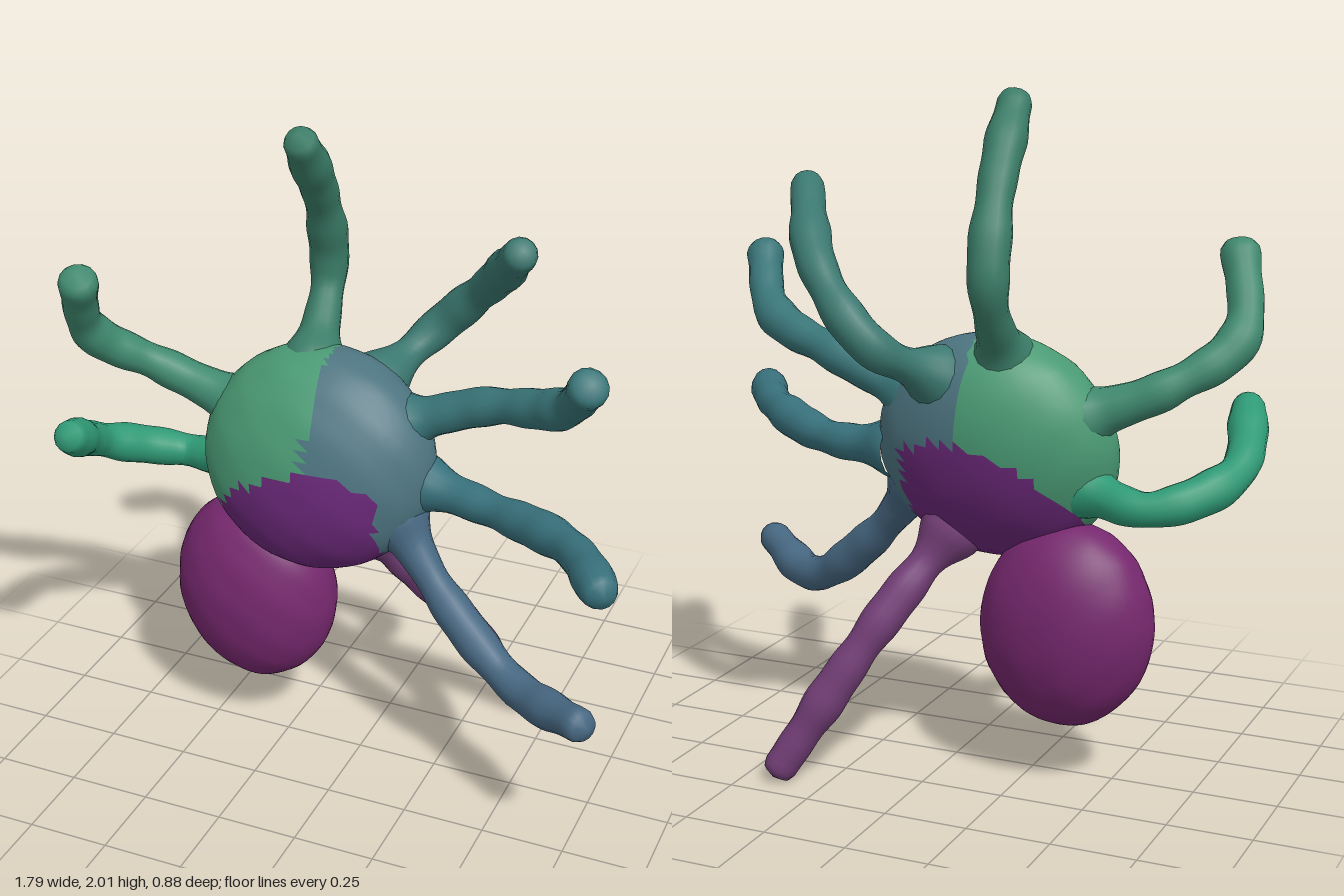
import * as THREE from 'three';
import { mergeVertices } from 'three/addons/utils/BufferGeometryUtils.js';

// Weld the seam so the lumpy surface shades smoothly
function weld(geometry) {
  geometry.deleteAttribute('uv');
  geometry.deleteAttribute('normal');
  const welded = mergeVertices(geometry, 1e-4);
  welded.computeVertexNormals();
  return welded;
}

// Gentle hand-modelled unevenness
const lump = (x, y, z) =>
  Math.sin(9 * x + 5 * y) * Math.sin(8 * y - 4 * z + 1) * Math.cos(7 * z + 3 * x);

function blob(radii, tiltX, tiltZ, centre) {
  const g = new THREE.SphereGeometry(1, 48, 32);
  const p = g.attributes.position;
  const v = new THREE.Vector3();
  for (let i = 0; i < p.count; i++) {
    v.fromBufferAttribute(p, i);
    v.multiplyScalar(1 + 0.012 * lump(v.x, v.y, v.z));
    p.setXYZ(i, v.x, v.y, v.z);
  }
  g.scale(...radii).rotateX(tiltX).rotateZ(tiltZ).translate(...centre);
  return weld(g);
}

// Tube along a curve: flared root, lumpy middle, rounded tip
function limb(points, seed) {
  const curve = new THREE.CatmullRomCurve3(points.map((q) => new THREE.Vector3(...q)));
  const rings = 44, sides = 14;
  const g = new THREE.TubeGeometry(curve, rings, 1, sides);
  const p = g.attributes.position;
  const length = curve.getLength();
  const v = new THREE.Vector3();
  for (let i = 0; i <= rings; i++) {
    const t = i / rings;
    const centre = curve.getPointAt(t);
    const fromTip = Math.min(1, ((1 - t) * length) / 0.05);
    const round = Math.sqrt(Math.max(0, 1 - (1 - fromTip) ** 2));
    const flare = 0.045 * Math.exp(-(((t * length) / 0.075) ** 2));
    const waves = 0.004 * Math.sin(t * 17 + seed) + 0.002 * Math.sin(t * 39 + seed * 2);
    const radius = (0.052 + 0.005 * Math.sin(t * Math.PI) + flare + waves) * round;
    for (let j = 0; j <= sides; j++) {
      const k = i * (sides + 1) + j;
      v.fromBufferAttribute(p, k).sub(centre).multiplyScalar(radius).add(centre);
      p.setXYZ(k, v.x, v.y, v.z);
    }
  }
  return weld(g);
}

// Keep only the triangles whose centre passes a test
function patch(geometry, test) {
  const p = geometry.attributes.position, index = geometry.index, kept = [];
  for (let i = 0; i < index.count; i += 3) {
    const c = [0, 1, 2].map((n) => index.getX(i + n));
    const x = c.reduce((s, n) => s + p.getX(n), 0) / 3;
    const y = c.reduce((s, n) => s + p.getY(n), 0) / 3;
    if (test(x, y)) kept.push(...c);
  }
  const g = geometry.clone();
  g.setIndex(kept);
  return g;
}

export function createModel() {
  const model = new THREE.Group();
  model.name = 'manyLeggedCreature';
  const add = (name, geometry, color) => {
    const mesh = new THREE.Mesh(geometry, new THREE.MeshStandardMaterial({ color }));
    mesh.name = name;
    model.add(mesh);
  };

  // Round body in three colour zones
  const shell = blob([0.365, 0.343, 0.212], -0.22, 0, [-0.15, 0.99, -0.045]);
  const belly = (x, y) => y < 1.03 - 1.6 * (x + 0.08) ** 2 && x > -0.43 && x < 0.09;
  add('bodyBelly', patch(shell, belly), 0x6a2878);
  add('bodyRightSide', patch(shell, (x, y) => !belly(x, y) && x < -0.12), 0x4a9a74);
  add('bodyLeftSide', patch(shell, (x, y) => !belly(x, y) && x >= -0.12), 0x4d7480);

  // Egg-shaped abdomen hanging below
  add('abdomen', blob([0.26, 0.31, 0.182], -0.05, 0.14, [-0.375, 0.485, -0.06]), 0x76286e);

  // Legs, each traced from root to tip
  const leg = (name, color, ...points) => add(name, limb(points, model.children.length * 1.7), color);
  leg('topLeg', 0x3b7d68,
    [-0.2, 1.25, -0.12], [-0.225, 1.48, -0.295], [-0.21, 1.72, -0.22], [-0.18, 2, 0.01]);
  leg('upperLeftLeg', 0x3b7870,
    [-0.02, 1.2, -0.17], [0.1, 1.32, -0.37], [0.28, 1.51, -0.32], [0.46, 1.74, -0.05]);
  leg('middleLeftLeg', 0x397578,
    [0.1, 1.13, -0.09], [0.35, 1.23, -0.09], [0.61, 1.32, 0.01], [0.74, 1.5, 0.19]);
  leg('sideLeftLeg', 0x38717c,
    [0.15, 0.96, -0.07], [0.42, 0.95, 0], [0.7, 0.99, 0.18], [0.875, 1.01, 0.43]);
  leg('lowerLeftLeg', 0x476882,
    [0.11, 0.85, -0.02], [0.3, 0.64, 0.05], [0.55, 0.465, 0.14], [0.83, 0.52, 0.34]);
  leg('bottomLeg', 0x743f78,
    [-0.03, 0.74, -0.1], [0.14, 0.46, -0.28], [0.41, 0.01, -0.41]);
  leg('upperRightLeg', 0x408a70,
    [-0.42, 1.1, -0.07], [-0.66, 1.2, -0.03], [-0.82, 1.33, 0.09], [-0.765, 1.59, 0.25]);
  leg('lowerRightLeg', 0x2f9a76,
    [-0.4, 0.9, -0.06], [-0.64, 0.87, -0.125], [-0.83, 0.95, 0.05], [-0.785, 1.11, 0.34]);
  return model;
}
